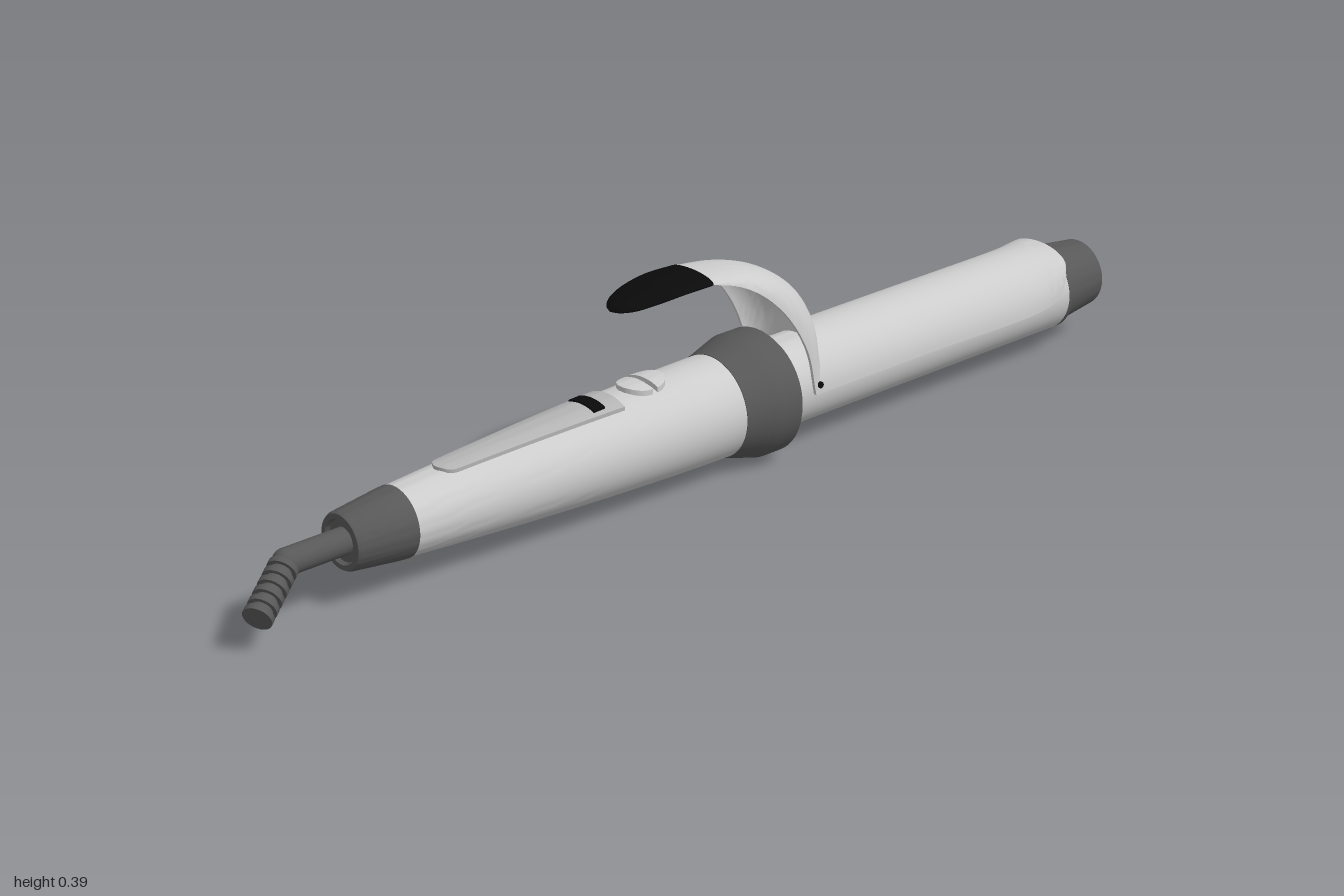
import * as THREE from 'three';
import { toCreasedNormals } from 'three/addons/utils/BufferGeometryUtils.js';

const AXIS_Y = 0.115; // height of the long axis, which runs along z

const flat = (name, color) => {
  const m = new THREE.MeshStandardMaterial({ color });
  m.name = name;
  return m;
};

// Handle radius along its length
const handleRadius = (z) => 0.094 - 0.032 * Math.pow(Math.max(0, (z + 0.045) / 0.71), 1.6);

// Closed shell lofted along +z; outer and inner map (t, s) to a point, s from -1 to 1
function shell(nu, nv, outer, inner) {
  const pos = [], index = [], ring = 2 * (nv + 1);
  for (let i = 0; i <= nu; i++) {
    for (let j = 0; j <= nv; j++) pos.push(...outer(i / nu, (2 * j) / nv - 1));
    for (let j = nv; j >= 0; j--) pos.push(...inner(i / nu, (2 * j) / nv - 1));
  }
  for (let i = 0; i < nu; i++) {
    for (let j = 0; j < ring; j++) {
      const a = i * ring + j, b = i * ring + (j + 1) % ring, c = a + ring, d = b + ring;
      index.push(a, c, b, b, c, d);
    }
  }
  for (let j = 0; j < nv; j++) {
    const p = ring - 1 - j, q = nu * ring;
    index.push(j, j + 1, p, j + 1, p - 1, p);
    index.push(q + j, q + p, q + j + 1, q + j + 1, q + p, q + p - 1);
  }
  const g = new THREE.BufferGeometry();
  g.setAttribute('position', new THREE.Float32BufferAttribute(pos, 3));
  g.setIndex(index);
  return toCreasedNormals(g, 0.7);
}

// Arched shell from rows of [crown z, crown y, edge z, edge y, half width]
function arch(rows, steps, widthK, heightK) {
  const crown = new THREE.CatmullRomCurve3(rows.map((r) => new THREE.Vector3(r[4], r[1], r[0])));
  const edge = new THREE.CatmullRomCurve3(rows.map((r) => new THREE.Vector3(0, r[3], r[2])));
  const surface = (kw, kh) => (t, s) => {
    const c = crown.getPoint(t), e = edge.getPoint(t);
    const f = Math.cos(s * Math.PI / 2) * kh;
    return [c.x * kw * Math.sin(s * Math.PI / 2), e.y + (c.y - e.y) * f, e.z + (c.z - e.z) * f];
  };
  return shell(steps, 28, surface(1, 1), surface(widthK, heightK));
}

// Raised pad that follows the top of the handle
function pad(z0, z1, halfWidth, height, steps = 16) {
  const surface = (h) => (t, s) => {
    const z = z0 + (z1 - z0) * t, x = halfWidth(t) * s, r = handleRadius(z) + h;
    return [x, AXIS_Y + Math.sqrt(r * r - x * x), z];
  };
  return shell(steps, 10, surface(height), surface(-0.003));
}

// Turned part from [radius, z] points in order of rising z
function turned(points) {
  const g = new THREE.LatheGeometry(points.map(([r, z]) => new THREE.Vector2(r, z)), 56);
  g.rotateX(Math.PI / 2).translate(0, AXIS_Y, 0);
  return toCreasedNormals(g, 0.5);
}

export function createModel() {
  const model = new THREE.Group();
  const light = flat('light grey', 0xcccccc);
  const panelGrey = flat('panel grey', 0xb4b4b4);
  const dark = flat('dark grey', 0x585858);
  const black = flat('black', 0x0a0a0a);
  const add = (name, geometry, material) => {
    const m = new THREE.Mesh(geometry, material);
    m.name = name;
    model.add(m);
    return m;
  };

  // Handle, tapering towards the cable
  const handle = [[0, -0.045]];
  for (let i = 0; i <= 20; i++) {
    const z = -0.045 + 0.71 * i / 20;
    handle.push([handleRadius(z), z]);
  }
  handle.push([0, 0.665]);
  add('handle', turned(handle), light);

  // Cable end cap, flared collar, heated barrel and cool tip
  add('handleEndCap', turned([[0, 0.66], [0.064, 0.66], [0.063, 0.675], [0.052, 0.77], [0.049, 0.776],
    [0.04, 0.776], [0.037, 0.768], [0, 0.768]]), dark);
  add('collar', turned([[0, -0.145], [0.094, -0.145], [0.1, -0.163], [0.108, -0.165], [0.1145, -0.158],
    [0.1145, -0.115], [0.109, -0.095], [0.095, -0.045], [0, -0.04]]), dark);
  add('barrel', turned([[0, -0.888], [0.08, -0.888], [0.082, -0.885], [0.082, -0.13], [0, -0.13]]), light);
  add('coolTip', turned([[0, -1], [0.06, -1], [0.064, -0.996], [0.076, -0.896], [0.082, -0.895],
    [0.082, -0.886], [0, -0.886]]), dark);

  // Clamp plate over the upper half of the barrel, with rounded far corners
  add('clampPlate', arch([
    [-0.885, 0.206, -0.885, 0.175, 0.07],
    [-0.872, 0.206, -0.872, 0.156, 0.083],
    [-0.85, 0.207, -0.85, 0.132, 0.09],
    [-0.82, 0.207, -0.82, 0.117, 0.091],
    [-0.5, 0.207, -0.5, 0.115, 0.091],
    [-0.255, 0.207, -0.215, 0.115, 0.091],
  ], 40, 0.93, 0.93), light);

  // Lever curving up and over the collar
  add('clampLever', arch([
    [-0.255, 0.207, -0.215, 0.115, 0.091],
    [-0.25, 0.25, -0.197, 0.2, 0.088],
    [-0.222, 0.3, -0.155, 0.275, 0.082],
    [-0.165, 0.345, -0.1, 0.33, 0.073],
    [-0.1, 0.371, -0.05, 0.358, 0.063],
    [0, 0.385, 0, 0.372, 0.055],
  ], 30, 0.93, 0.9), light);

  // Thumb rest at the end of the lever
  add('thumbRest', arch([
    [0, 0.386, 0, 0.373, 0.055],
    [0.06, 0.386, 0.06, 0.374, 0.057],
    [0.12, 0.38, 0.12, 0.369, 0.05],
    [0.16, 0.373, 0.16, 0.363, 0.036],
    [0.18, 0.366, 0.18, 0.36, 0.019],
    [0.188, 0.361, 0.188, 0.359, 0.002],
  ], 24, 1, -0.8), black);

  // Hinge pins on both sides
  for (const side of [-1, 1]) {
    const pin = add(side > 0 ? 'leftHingePin' : 'rightHingePin',
      new THREE.CylinderGeometry(0.006, 0.006, 0.008, 16), black);
    pin.rotation.z = Math.PI / 2;
    pin.position.set(side * 0.089, 0.132, -0.225);
  }

  // Control panel, display and the two halves of the oval button
  const roundEnd = (t) => Math.sqrt(Math.max(0.02, 1 - Math.pow(Math.max(0, (t - 0.93) / 0.07), 2)));
  add('controlPanel', pad(0.195, 0.575, (t) => (0.044 - 0.018 * t) * roundEnd(t), 0.006, 40), panelGrey);
  add('display', pad(0.23, 0.255, () => 0.033, 0.009, 2), black);
  const oval = (t) => 0.036 * Math.sqrt(Math.max(0.04, 1 - t * t));
  add('rearButton', pad(0.075, 0.113, (t) => oval(1 - t), 0.009), light);
  add('frontButton', pad(0.124, 0.165, oval, 0.009), light);

  // Cable stub and its bent, ribbed strain relief
  const bend = new THREE.Vector3(0, AXIS_Y, 0.885);
  const end = new THREE.Vector3(0.05, 0.065, 0.982);
  const rod = (name, a, b, r) => {
    const d = b.clone().sub(a);
    const m = add(name, new THREE.CylinderGeometry(r, r, d.length(), 28), dark);
    m.position.copy(a).addScaledVector(d, 0.5);
    m.quaternion.setFromUnitVectors(new THREE.Vector3(0, 1, 0), d.normalize());
  };
  rod('cable', new THREE.Vector3(0, AXIS_Y, 0.76), bend, 0.024);
  const elbow = add('cableElbow', new THREE.SphereGeometry(0.024, 28, 16), dark);
  elbow.position.copy(bend);
  rod('strainReliefCore', bend, end, 0.019);
  for (let i = 0; i < 6; i++) {
    const t = 0.08 + i * 0.168;
    rod('strainReliefRib' + (i + 1), bend.clone().lerp(end, t), bend.clone().lerp(end, t + 0.09), 0.026);
  }
  return model;
}
